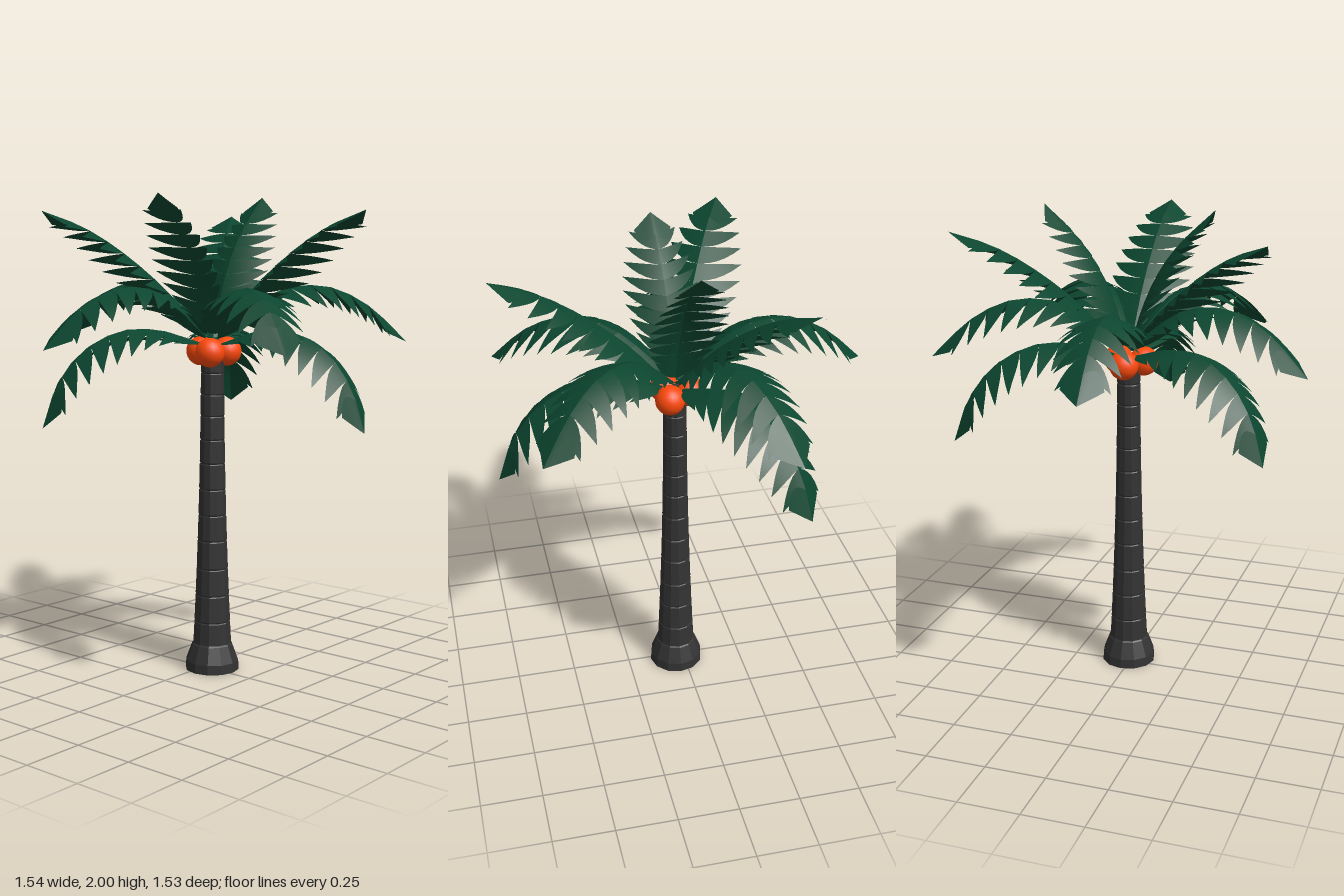
import * as THREE from 'three';

const green = new THREE.MeshStandardMaterial({ color: 0x0c4630, side: THREE.DoubleSide });
const bark = new THREE.MeshStandardMaterial({ color: 0x333333, flatShading: true });
const orange = new THREE.MeshStandardMaterial({ color: 0xff4a0c });

// Frond spines as [radius, height], with compass angles and a width factor
const TIERS = [
  { name: 'uprightFrond', angles: [87, 267], width: 0.9,
    spine: [[0, 1.4], [0.06, 1.6], [0.13, 1.75], [0.21, 1.86], [0.355, 2.0]] },
  { name: 'highFrond', angles: [-3, 117, 237], width: 1,
    spine: [[0, 1.38], [0.2, 1.61], [0.4, 1.775], [0.56, 1.87], [0.725, 1.93]] },
  { name: 'middleFrond', angles: [31, 103, 175, 247, 319], width: 1,
    spine: [[0, 1.4], [0.1, 1.5], [0.28, 1.615], [0.47, 1.63], [0.64, 1.555], [0.808, 1.4]] },
  { name: 'lowFrond', angles: [-3, 117, 237], width: 1,
    spine: [[0, 1.38], [0.09, 1.41], [0.24, 1.455], [0.4, 1.455], [0.56, 1.38], [0.67, 1.25], [0.735, 1.075]] },
];

// Feathered blade: rows of swept leaflets hanging roof-like from a curved spine
function frondGeometry(curve, width) {
  const pos = [], idx = [];
  const at = (t, s, drop) => {
    const p = curve.getPointAt(Math.min(1, t)), d = curve.getTangentAt(Math.min(1, t));
    const sag = 0.2 * Math.abs(s) + 1.6 * s * s + drop;
    pos.push(p.x + d.y * sag, p.y - d.x * sag, s);
  };
  const leaflet = (t0, t1, w, sweep, bend, side) => {
    const base = pos.length / 3, steps = 6;
    for (let i = 0; i <= steps; i++) {
      const u = i / steps, shift = sweep * Math.pow(u, bend);
      at(t0 + shift + (t1 - t0) * u * u * u, side * w * u, 0);
      at(t1 + shift, side * w * u, 0.012 * u * (1 - u));
      if (i === 0) continue;
      const a = base + 2 * i - 2;
      if (side > 0) idx.push(a, a + 2, a + 1, a + 1, a + 2, a + 3);
      else idx.push(a, a + 1, a + 2, a + 1, a + 3, a + 2);
    }
  };
  const count = 9, start = 0.05, step = 0.81 / count;
  for (const side of [-1, 1]) {
    for (let i = 0; i < count; i++) {
      const t = start + i * step;
      const w = width * (0.085 + 0.09 * Math.sin(Math.PI * Math.pow((i + 0.6) / (count + 0.5), 0.85)));
      leaflet(t, t + step, w, 0.09 * (1 - 0.4 * i / count), 1.3, side);
    }
    leaflet(0.86, 1, 0.085 * width, -0.085, 1, side); // arrow-shaped tip
  }
  const g = new THREE.BufferGeometry();
  g.setAttribute('position', new THREE.Float32BufferAttribute(pos, 3));
  g.setIndex(idx);
  g.computeVertexNormals();
  return g;
}

export function createModel() {
  const tree = new THREE.Group();
  tree.name = 'palmTree';
  const palm = new THREE.Group();
  palm.name = 'palm';
  palm.position.set(0.035, 0, -0.015);
  tree.add(palm);

  // Trunk: flared foot, then ringed segments, each slightly wider at its bottom
  const profile = [[0, 0], [0.115, 0], [0.113, 0.04], [0.1, 0.075], [0.087, 0.11]];
  const rings = [0.11, 0.21, 0.325, 0.44, 0.56, 0.67, 0.78, 0.89, 0.99, 1.09, 1.18, 1.27, 1.38];
  const radius = (y) => 0.047 + 0.039 * Math.pow(1 - y / 1.4, 2);
  for (let i = 0; i < rings.length - 1; i++) {
    profile.push([radius(rings[i]) + 0.002, rings[i] + 0.006], [radius(rings[i + 1]) + 0.002, rings[i + 1] - 0.004],
      [radius(rings[i + 1]) - 0.001, rings[i + 1]]);
  }
  profile.push([0, 1.4]);
  const trunk = new THREE.Mesh(new THREE.LatheGeometry(profile.map(([x, y]) => new THREE.Vector2(x, y)), 12), bark);
  trunk.name = 'trunk';
  palm.add(trunk);

  // Three coconuts under the crown
  for (const deg of [60, 180, 300]) {
    const a = THREE.MathUtils.degToRad(deg);
    const nut = new THREE.Mesh(new THREE.SphereGeometry(0.061, 20, 14), orange);
    nut.name = 'coconut';
    nut.position.set(0.064 * Math.cos(a), 1.36, 0.064 * Math.sin(a));
    palm.add(nut);
  }

  // Crown of fronds in four tiers
  for (const { name, angles, width, spine } of TIERS) {
    const curve = new THREE.CatmullRomCurve3(spine.map(([r, y]) => new THREE.Vector3(r, y, 0)));
    const blade = frondGeometry(curve, width);
    for (const deg of angles) {
      const frond = new THREE.Mesh(blade, green);
      frond.name = name;
      frond.rotation.y = -THREE.MathUtils.degToRad(deg);
      palm.add(frond);
    }
  }
  return tree;
}
